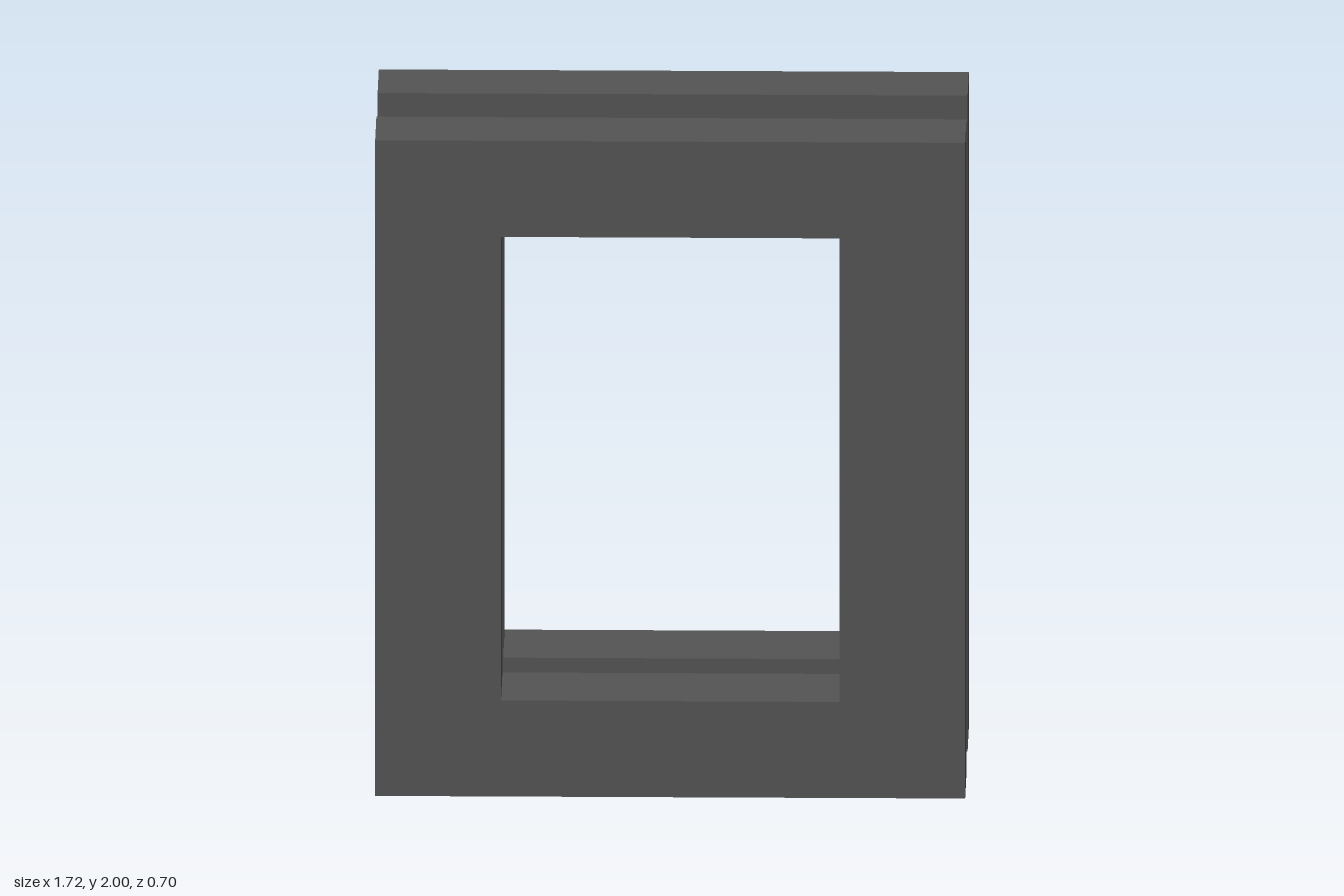
import * as THREE from 'three';

// Sweeps a closed profile of [halfWidth, halfHeight, z] around a rectangle with mitred corners.
function rectangularSweep(profile) {
  const corners = [[1, 1], [-1, 1], [-1, -1], [1, -1]];
  const positions = [];
  const point = (c, p) => [corners[c][0] * p[0], corners[c][1] * p[1], p[2]];
  for (let c = 0; c < 4; c++) {
    const next = (c + 1) % 4;
    profile.forEach((p, j) => {
      const q = profile[(j + 1) % profile.length];
      const [a, b, e, d] = [point(c, p), point(c, q), point(next, q), point(next, p)];
      positions.push(...a, ...d, ...e, ...a, ...e, ...b);
    });
  }
  const geometry = new THREE.BufferGeometry();
  geometry.setAttribute('position', new THREE.Float32BufferAttribute(positions, 3));
  geometry.computeVertexNormals();
  return geometry;
}

export function createModel() {
  const model = new THREE.Group();
  model.name = 'windowFrame';
  const material = new THREE.MeshStandardMaterial({ color: 0x555555 });

  // Half width and half height of each layer
  const outer = [0.86, 1.0];
  const outerGroove = [0.775, 0.915];
  const opening = [0.493, 0.707];
  const innerGroove = [0.625, 0.765];
  const depth = 0.35, outerGrooveZ = 0.117, innerGrooveZ = 0.073;

  // Outside from back to front, then the opening from front to back
  const profile = [
    [...outer, -depth], [...outer, -outerGrooveZ],
    [...outerGroove, -outerGrooveZ], [...outerGroove, outerGrooveZ],
    [...outer, outerGrooveZ], [...outer, depth],
    [...opening, depth], [...opening, innerGrooveZ],
    [...innerGroove, innerGrooveZ], [...innerGroove, -innerGrooveZ],
    [...opening, -innerGrooveZ], [...opening, -depth],
  ];
  const frame = new THREE.Mesh(rectangularSweep(profile), material);
  frame.name = 'groovedFrame';
  frame.position.y = 1;
  model.add(frame);
  return model;
}
